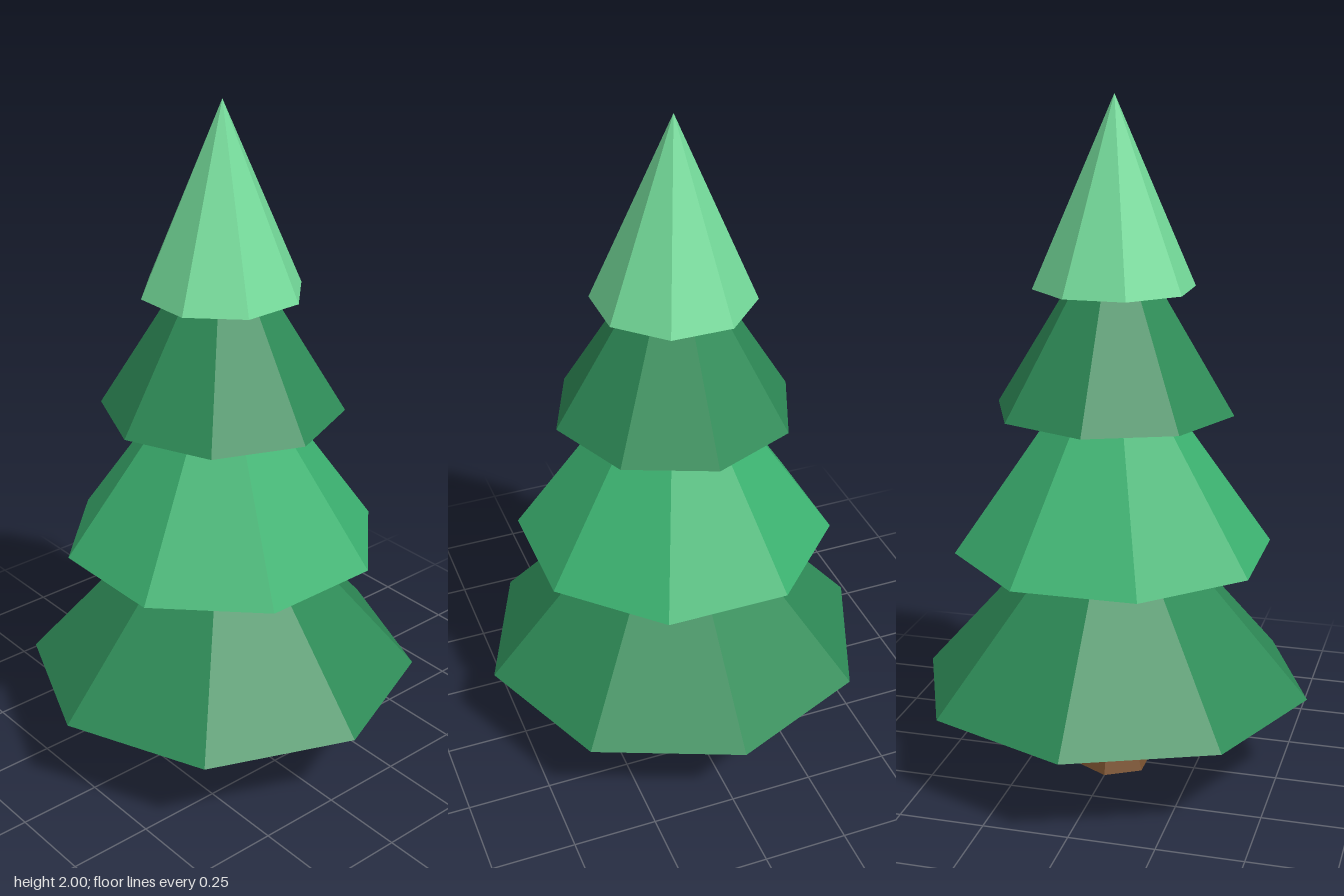
import * as THREE from 'three';

const flat = (name, color) => {
  const m = new THREE.MeshStandardMaterial({ color, flatShading: true });
  m.name = name;
  return m;
};

// Faceted solid of revolution from [radius, height] pairs, listed bottom to top
function faceted(name, profile, sides, turn, material) {
  const points = profile.map(([r, y]) => new THREE.Vector2(r, y));
  const mesh = new THREE.Mesh(new THREE.LatheGeometry(points, sides), material);
  mesh.name = name;
  mesh.rotation.y = turn;
  return mesh;
}

export function createModel() {
  const tree = new THREE.Group();
  tree.name = 'pineTree';

  const bark = flat('barkBrown', 0x7a5230);
  const dark = flat('darkGreen', 0x2e8b57);
  const mid = flat('midGreen', 0x3cb371);
  const light = flat('lightGreen', 0x74db9a);

  // Six-sided trunk with a flared foot
  tree.add(faceted('trunk',
    [[0, 0], [0.116, 0], [0.085, 0.1], [0.075, 0.28], [0.07, 0.45], [0, 0.45]],
    6, Math.PI / 2, bark));

  // Eight-sided foliage cones with hollowed undersides, alternately turned by half a side
  const tiers = [
    { name: 'bottomFoliage', radius: 0.586, base: 0.265, tip: 0.93, hollow: 0.12, material: dark },
    { name: 'lowerFoliage', radius: 0.47, base: 0.688, tip: 1.36, hollow: 0.18, material: mid },
    { name: 'upperFoliage', radius: 0.352, base: 1.11, tip: 1.685, hollow: 0.16, material: dark },
    { name: 'topFoliage', radius: 0.234, base: 1.462, tip: 2, hollow: 0.13, material: light },
  ];
  tiers.forEach(({ name, radius, base, tip, hollow, material }, i) => {
    tree.add(faceted(name, [[0, base + hollow], [radius, base], [0, tip]],
      8, (i % 2) * Math.PI / 8, material));
  });

  return tree;
}
